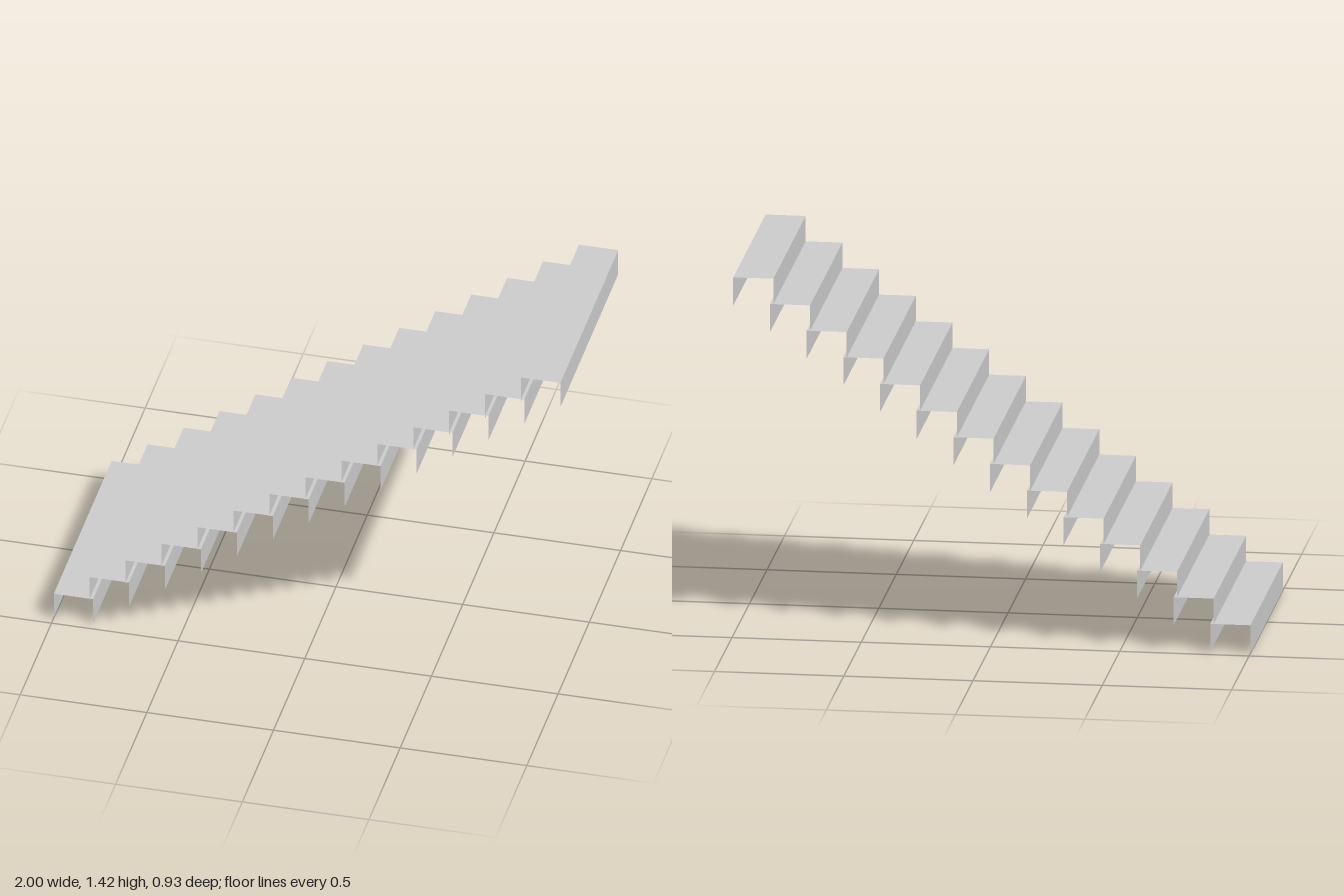
import * as THREE from 'three';

const STEPS = 14;
const DEPTH = 0.155;   // tread length along x
const HEIGHT = 0.112;  // riser height
const WIDTH = 0.926;   // stair width along z
const RUN = (2 - DEPTH) / (STEPS - 1);
const RISE = 0.1007;

export function createModel() {
  const stairs = new THREE.Group();
  stairs.name = 'staircase';
  const material = new THREE.MeshStandardMaterial({ color: 0xcccccc, side: THREE.DoubleSide });

  // Thin sheets shared by every step, facing outward
  const treadGeo = new THREE.PlaneGeometry(DEPTH, WIDTH).rotateX(-Math.PI / 2).translate(DEPTH / 2, HEIGHT, 0);
  const frontGeo = new THREE.PlaneGeometry(WIDTH, HEIGHT).rotateY(-Math.PI / 2).translate(0, HEIGHT / 2, 0);
  const backGeo = new THREE.PlaneGeometry(WIDTH, HEIGHT).rotateY(Math.PI / 2).translate(DEPTH, HEIGHT / 2, 0);
  const parts = { tread: treadGeo, lowerRiser: frontGeo, backFlange: backGeo };

  // Each step is an inverted channel, climbing toward +x
  for (let i = 0; i < STEPS; i++) {
    const step = new THREE.Group();
    step.name = `step${i + 1}`;
    for (const [name, geometry] of Object.entries(parts)) {
      const mesh = new THREE.Mesh(geometry, material);
      mesh.name = name;
      step.add(mesh);
    }
    step.position.set(-1 + i * RUN, i * RISE, 0);
    stairs.add(step);
  }
  return stairs;
}
